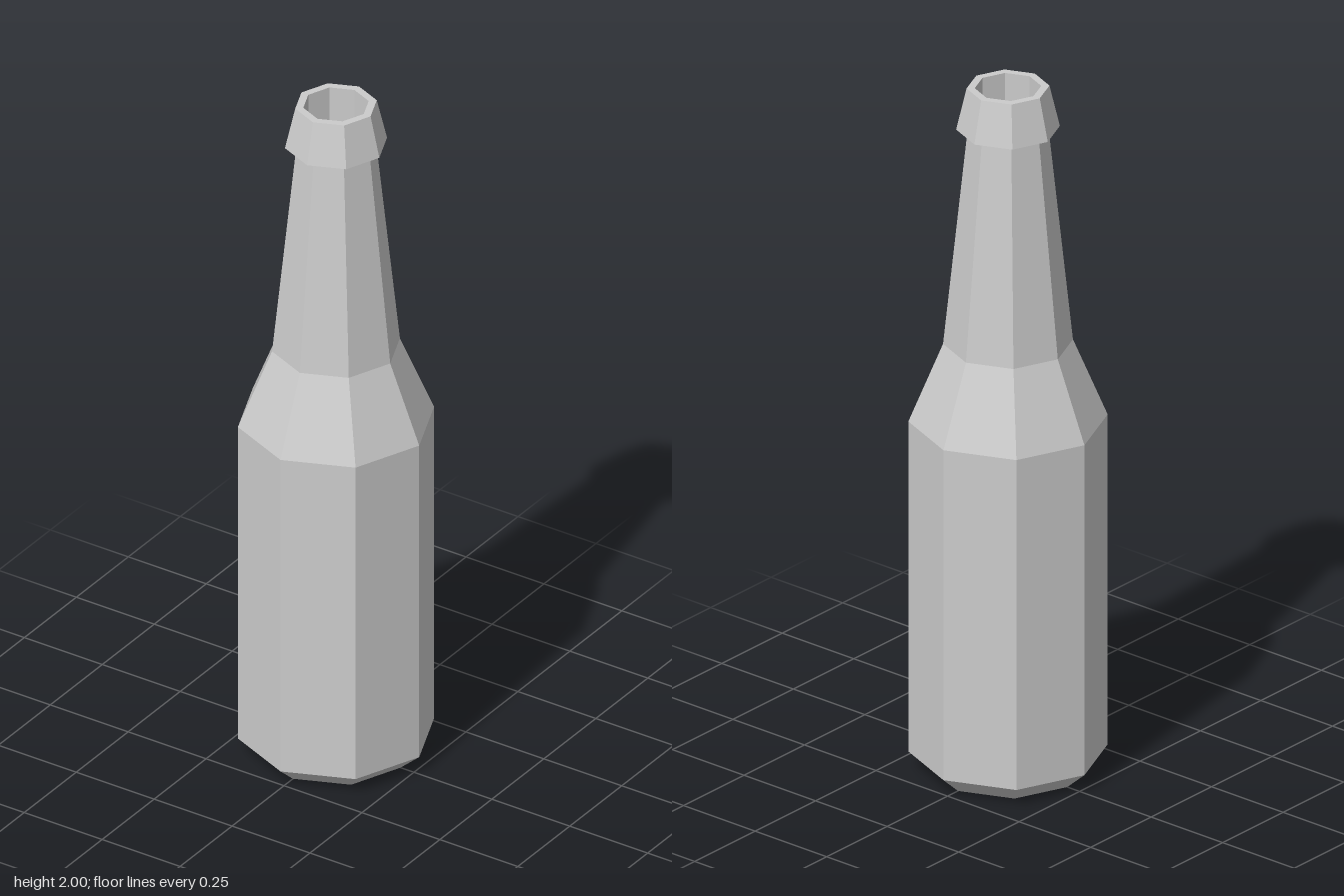
import * as THREE from 'three';

const SIDES = 8;

// Faceted solid of revolution from [radius, height] pairs, corners on the x and z axes
function turned(name, profile, material) {
  const points = profile.map(([r, y]) => new THREE.Vector2(r, y));
  const geometry = new THREE.LatheGeometry(points, SIDES).toNonIndexed();
  geometry.computeVertexNormals();
  const mesh = new THREE.Mesh(geometry, material);
  mesh.name = name;
  return mesh;
}

export function createModel() {
  const group = new THREE.Group();
  group.name = 'bottle';
  const glass = new THREE.MeshStandardMaterial({ color: 0xcccccc, flatShading: true });

  // Base with bevelled foot, straight body, shoulder and tapering neck
  group.add(turned('body', [
    [0, 0], [0.207, 0], [0.267, 0.053], [0.267, 1.025], [0.174, 1.25], [0.108, 1.88],
  ], glass));

  // Flared collar, flat rim and the recessed mouth with its floor
  group.add(turned('lip', [
    [0.108, 1.88], [0.139, 1.88], [0.111, 2], [0.089, 2], [0.089, 1.88], [0, 1.88],
  ], glass));

  return group;
}
